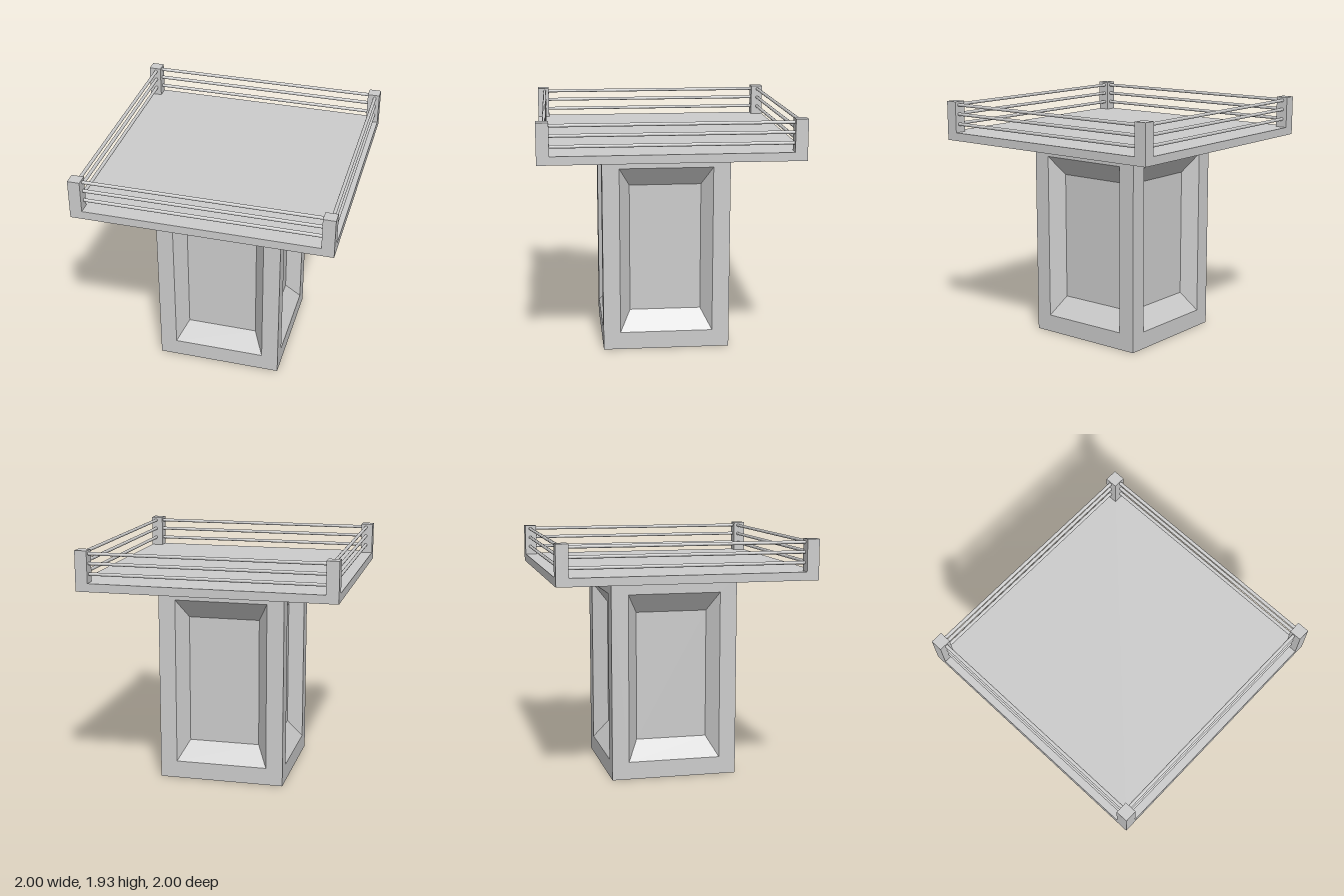
import * as THREE from 'three';

const material = new THREE.MeshStandardMaterial({ color: 0xcccccc, flatShading: true });

function add(parent, name, geometry, x = 0, y = 0, z = 0) {
  const mesh = new THREE.Mesh(geometry, material);
  mesh.name = name;
  mesh.position.set(x, y, z);
  parent.add(mesh);
  return mesh;
}

// One pedestal face: flat frame, sloping reveal and sunken panel, from nested rectangles
function panelledFace() {
  // half width, bottom, top, depth
  const rings = [
    [0.505, 0, 1.615, 0.505],
    [0.37, 0.14, 1.48, 0.505],
    [0.285, 0.295, 1.325, 0.39],
  ].map(([w, b, t, z]) => [[-w, b, z], [w, b, z], [w, t, z], [-w, t, z]]);
  const positions = [];
  const quad = (a, b, c, d) => positions.push(...a, ...b, ...c, ...a, ...c, ...d);
  for (let r = 0; r < 2; r++) {
    for (let i = 0; i < 4; i++) {
      const j = (i + 1) % 4;
      quad(rings[r][i], rings[r][j], rings[r + 1][j], rings[r + 1][i]);
    }
  }
  quad(...rings[2]);
  const geometry = new THREE.BufferGeometry();
  geometry.setAttribute('position', new THREE.Float32BufferAttribute(positions, 3));
  geometry.computeVertexNormals();
  return geometry;
}

export function createModel() {
  const model = new THREE.Group();
  model.name = 'railedPlatform';

  // Pedestal with a recessed panel on each side
  const pedestal = new THREE.Group();
  pedestal.name = 'pedestal';
  model.add(pedestal);
  const face = panelledFace();
  for (let i = 0; i < 4; i++) {
    add(pedestal, 'pedestalSide', face).rotation.y = i * Math.PI / 2;
  }
  const base = new THREE.PlaneGeometry(1.01, 1.01).rotateX(Math.PI / 2);
  add(pedestal, 'pedestalBase', base);

  // Deck slab
  add(model, 'deck', new THREE.BoxGeometry(2, 0.065, 2), 0, 1.6475, 0);

  // Corner posts
  const post = new THREE.BoxGeometry(0.095, 0.248, 0.095);
  for (const x of [-1, 1]) {
    for (const z of [-1, 1]) add(model, 'cornerPost', post, x * 0.9525, 1.804, z * 0.9525);
  }

  // Three round rails along each edge, ending inside the posts
  const rail = new THREE.CylinderGeometry(0.013, 0.013, 1.83, 12);
  const railX = rail.clone().rotateZ(Math.PI / 2);
  const railZ = rail.clone().rotateX(Math.PI / 2);
  for (const y of [1.746, 1.826, 1.901]) {
    add(model, 'frontRail', railX, 0, y, 0.94);
    add(model, 'backRail', railX, 0, y, -0.958);
    add(model, 'leftRail', railZ, 0.963, y, 0);
    add(model, 'rightRail', railZ, -0.944, y, 0);
  }

  return model;
}
